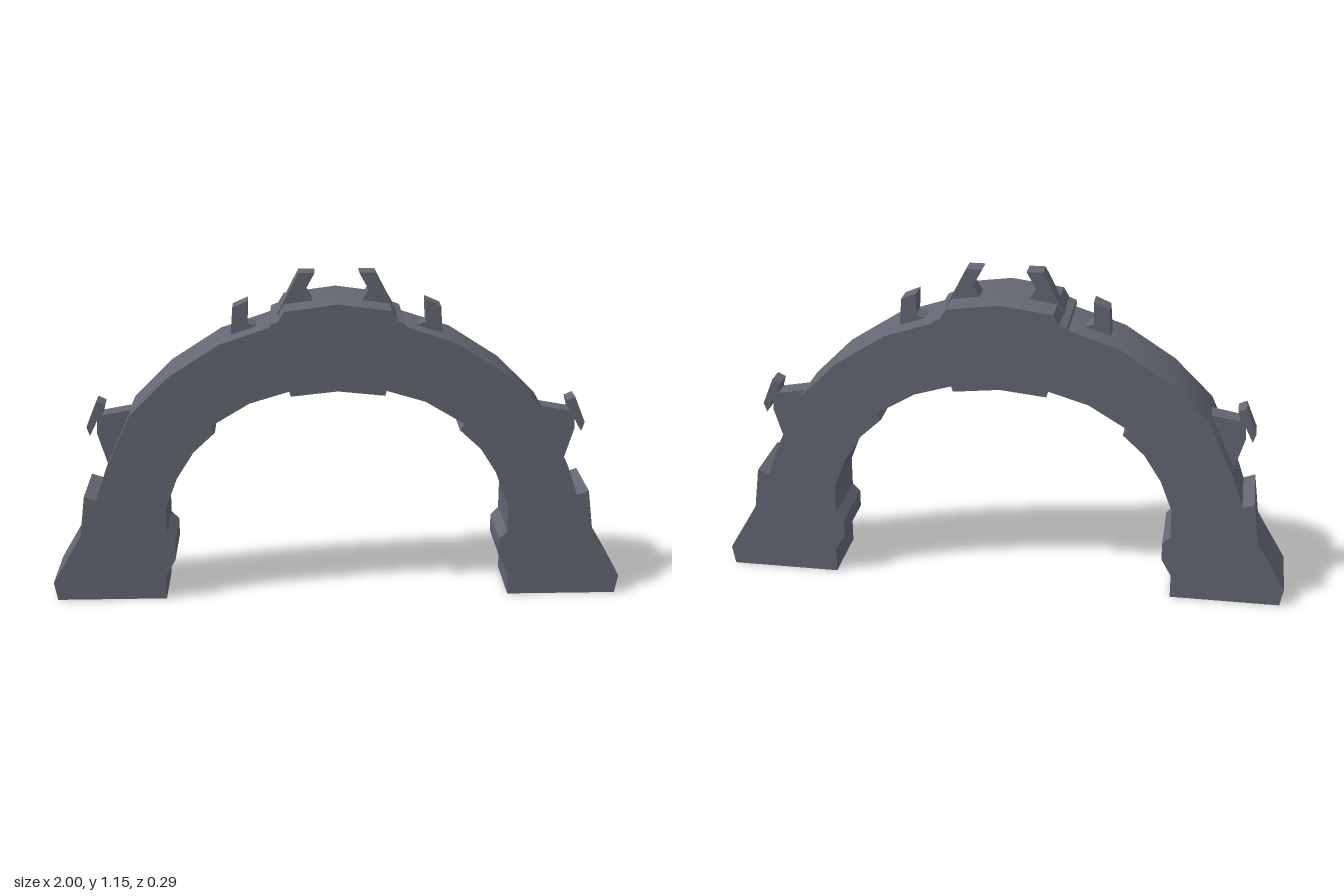
import * as THREE from 'three';
import { toCreasedNormals } from 'three/addons/utils/BufferGeometryUtils.js';

const stone = new THREE.MeshStandardMaterial({ color: 0x646773, side: THREE.DoubleSide });
stone.name = 'slate grey';

// Extrude an outline symmetrically in z; openBase leaves out the faces on the ground
function slab(name, points, depth, mirror = 1, openBase = false) {
  const shape = new THREE.Shape(points.map(([x, y]) => new THREE.Vector2(x * mirror, y)));
  let geo = new THREE.ExtrudeGeometry(shape, { depth, bevelEnabled: false });
  geo.translate(0, 0, -depth / 2);
  if (openBase) {
    const p = geo.attributes.position;
    const kept = [];
    for (let i = 0; i < p.count; i += 3) {
      if (Math.max(p.getY(i), p.getY(i + 1), p.getY(i + 2)) < 0.001) continue;
      for (let k = i; k < i + 3; k++) kept.push(p.getX(k), p.getY(k), p.getZ(k));
    }
    geo = new THREE.BufferGeometry();
    geo.setAttribute('position', new THREE.Float32BufferAttribute(kept, 3));
  }
  const mesh = new THREE.Mesh(toCreasedNormals(geo, 0.55), stone);
  mesh.name = name;
  return mesh;
}

// Half arch: outer edge going up, then inner edge going down
const legOutline = [
  [0.605, 0], [0.988, 0], [1, 0.065], [0.897, 0.24], [0.878, 0.387], [0.837, 0.372],
  [0.8, 0.48], [0.71, 0.678], [0.575, 0.812], [0.4, 0.925], [0.215, 0.987], [0.13, 0.987],
  [0.13, 0.765], [0.16, 0.76], [0.3, 0.718], [0.435, 0.637], [0.42, 0.615], [0.495, 0.545],
  [0.555, 0.45], [0.597, 0.34], [0.597, 0.238], [0.57, 0.21], [0.57, 0.147], [0.605, 0.085],
];

const keystoneOutline = [
  [-0.16, 0.748], [0, 0.765], [0.16, 0.748], [0.227, 0.985], [0.225, 0.998], [0.2, 1.008],
  [0.18, 1.042], [0, 1.066], [-0.18, 1.042], [-0.2, 1.008], [-0.225, 0.998], [-0.227, 0.985],
];

// Spikes, with their roots sunk into the arch
const spikes = {
  crownHorn: [[0.207, 1.0], [0.13, 1.15], [0.075, 1.15], [0.107, 1.092], [0.085, 1.055], [0.1, 1.02]],
  shoulderSpike: [[0.302, 1.055], [0.355, 1.032], [0.362, 0.938], [0.33, 0.91], [0.27, 0.95], [0.277, 0.968], [0.305, 0.978]],
  sideHook: [
    [0.7, 0.675], [0.812, 0.655], [0.802, 0.692], [0.83, 0.705], [0.868, 0.612], [0.857, 0.58],
    [0.83, 0.635], [0.833, 0.59], [0.8, 0.48], [0.74, 0.56],
  ],
};

export function createModel() {
  const group = new THREE.Group();
  group.name = 'archway';
  group.add(slab('keystone', keystoneOutline, 0.288));
  for (const [side, s] of [['left', 1], ['right', -1]]) {
    group.add(slab(side + 'ArchLeg', legOutline, 0.24, s, true));
    for (const [name, points] of Object.entries(spikes)) {
      group.add(slab(side + name[0].toUpperCase() + name.slice(1), points, 0.07, s));
    }
  }
  return group;
}
